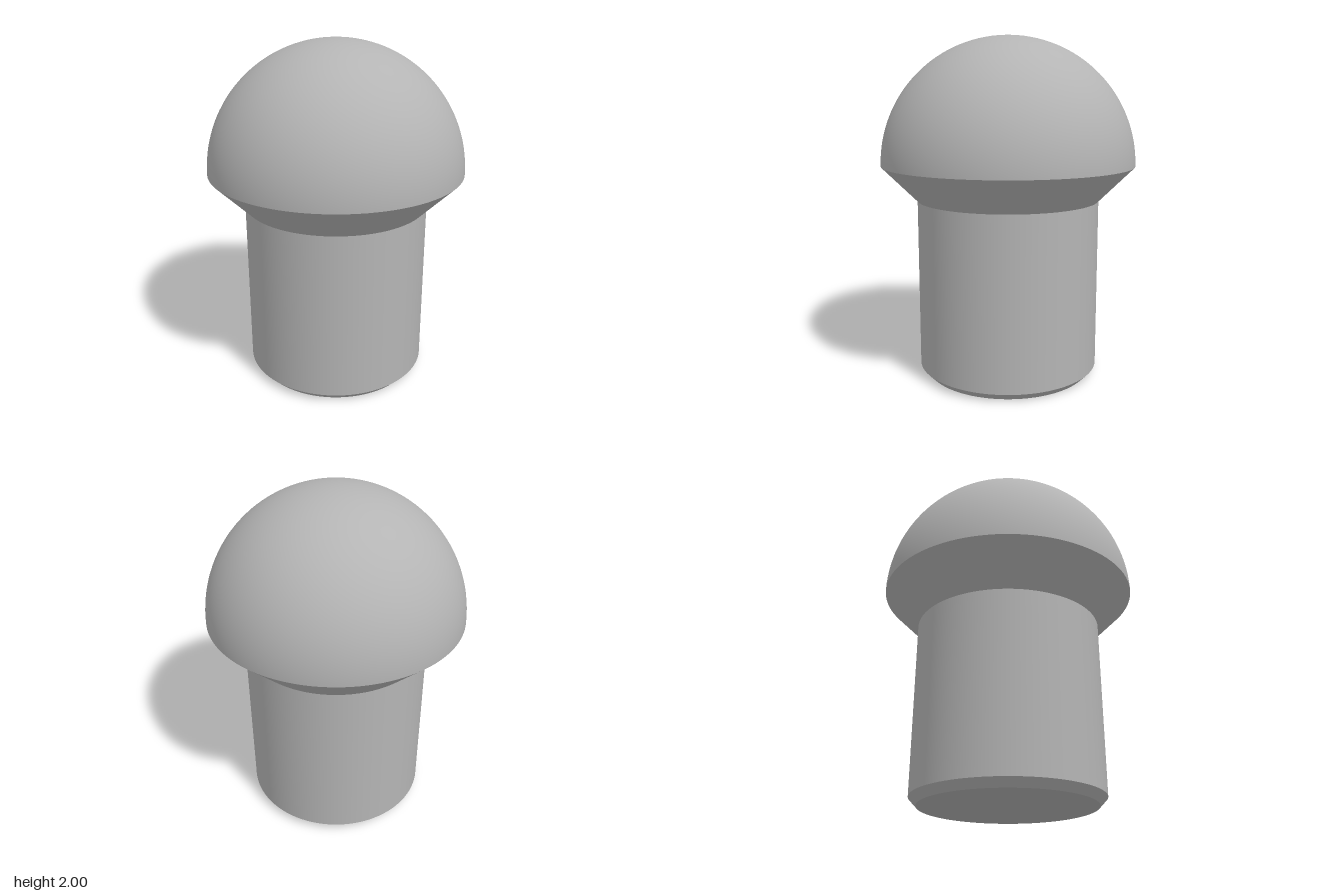
import * as THREE from 'three';

const SEGMENTS = 96;
const HEAD_R = 0.745, SHANK_R = 0.538, FOOT_R = 0.495;
const FOOT_Y = 0.045, NECK_Y = 1.048, RIM_Y = 1.255;

export function createModel() {
  const group = new THREE.Group();
  group.name = 'domedPin';
  const grey = new THREE.MeshStandardMaterial({ color: 0xb4b4b4 });
  grey.name = 'plainGrey';

  const add = (name, geometry, y = 0) => {
    const mesh = new THREE.Mesh(geometry, grey);
    mesh.name = name;
    mesh.position.y = y;
    group.add(mesh);
  };

  // Open ring between two heights, so each edge stays sharp
  const band = (name, rBottom, yBottom, rTop, yTop) =>
    add(name, new THREE.CylinderGeometry(rTop, rBottom, yTop - yBottom, SEGMENTS, 1, true), (yBottom + yTop) / 2);

  // Flat underside, chamfered foot, straight shank and flared underside of the head
  add('base', new THREE.CircleGeometry(FOOT_R, SEGMENTS).rotateX(Math.PI / 2));
  band('footChamfer', FOOT_R, 0, SHANK_R, FOOT_Y);
  band('shank', SHANK_R, FOOT_Y, SHANK_R, NECK_Y);
  band('headFlare', SHANK_R, NECK_Y, HEAD_R, RIM_Y);

  // Hemispherical head
  add('dome', new THREE.SphereGeometry(HEAD_R, SEGMENTS, 32, 0, Math.PI * 2, 0, Math.PI / 2), RIM_Y);

  return group;
}
